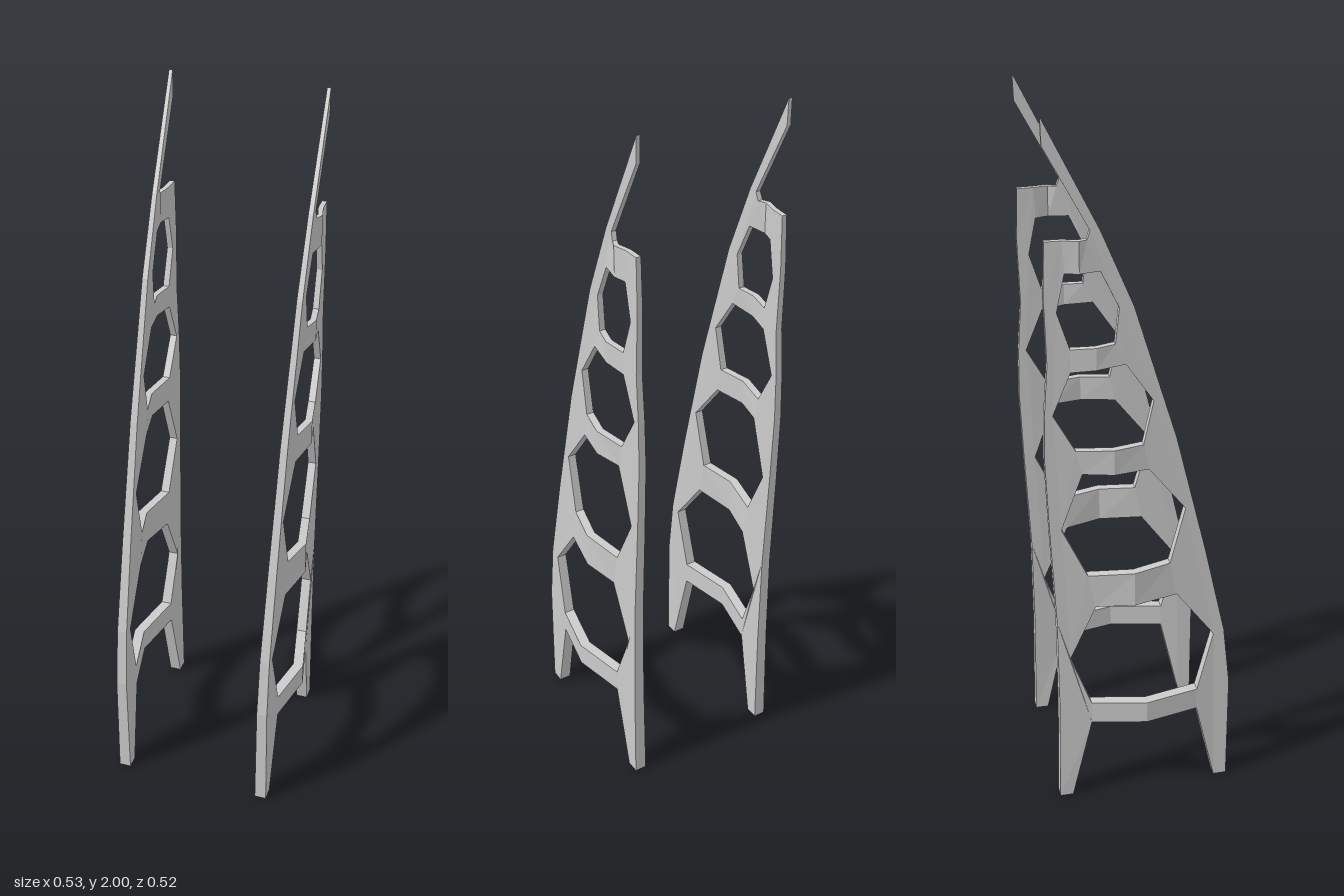
import * as THREE from 'three';

const material = new THREE.MeshStandardMaterial({ color: 0xcccccc, flatShading: true });

// Rung corners as [z, y], and how far the rung's middle bows outward.
const rungs = [
  { fb: [0.164, 0.254], ft: [0.164, 0.32], rb: [-0.143, 0.254], rt: [-0.143, 0.32], bow: 0.038 },
  { fb: [0.1, 0.65], ft: [0.08, 0.752], rb: [-0.127, 0.64], rt: [-0.148, 0.741], bow: 0.028 },
  { fb: [0.02, 1.048], ft: [0.005, 1.122], rb: [-0.159, 1.053], rt: [-0.175, 1.122], bow: 0.021 },
  { fb: [-0.042, 1.355], ft: [-0.069, 1.413], rb: [-0.185, 1.345], rt: [-0.185, 1.408], bow: 0.013 },
  { fb: [-0.106, 1.61], ft: [-0.138, 1.693], rb: [-0.196, 1.61], rt: [-0.2, 1.695], bow: 0.011 },
];

// Narrowest points of the rails between the rungs.
const frontWaists = [[0.21, 0.5], [0.122, 0.916], [0.032, 1.244], [-0.058, 1.509]];
const rearWaists = [[-0.2, 0.476], [-0.217, 0.89], [-0.233, 1.228], [-0.217, 1.509]];

const frontOutline = [
  [0.222, 0], [0.26, 0], [0.26, 0.33], [0.24, 0.51], [0.18, 0.78], [0.095, 1.13],
  [-0.02, 1.51], [-0.105, 1.715], [-0.246, 2], [-0.244, 1.93], [-0.13, 1.715],
];
const rearOutline = [
  [-0.2, 0], [-0.238, 0], [-0.233, 0.32], [-0.235, 0.6], [-0.249, 0.89], [-0.257, 1.1],
  [-0.254, 1.23], [-0.244, 1.37], [-0.249, 1.55], [-0.244, 1.695],
];

// The plate gets thinner with height.
const innerX = (y) => 0.197 + 0.004 * y;
const outerX = (y) => 0.231 - 0.008 * y;

// Closed plate over an outline of [z, y, outward offset]; side is +1 or -1.
function plate(name, outline, side) {
  const flat = (list) => list.map(([z, y]) => new THREE.Vector2(z, y));
  const pts = THREE.ShapeUtils.area(flat(outline)) < 0 ? outline.slice().reverse() : outline;
  const at = (surface) => pts.map(([z, y, d = 0]) => [side * (surface(y) + d), y, z]);
  const inner = at(innerX);
  const outer = at(outerX);
  const positions = [];
  const tri = (a, b, c) => positions.push(...(side > 0 ? [a, b, c] : [a, c, b]).flat());

  for (const [a, b, c] of THREE.ShapeUtils.triangulateShape(flat(pts), [])) {
    tri(inner[a], inner[b], inner[c]);
    tri(outer[a], outer[c], outer[b]);
  }
  for (let i = 0; i < pts.length; i++) {
    const j = (i + 1) % pts.length;
    tri(inner[i], outer[i], outer[j]);
    tri(inner[i], outer[j], inner[j]);
  }

  const geometry = new THREE.BufferGeometry();
  geometry.setAttribute('position', new THREE.Float32BufferAttribute(positions, 3));
  geometry.computeVertexNormals();
  const mesh = new THREE.Mesh(geometry, material);
  mesh.name = name;
  return mesh;
}

// Rung ends are already pushed out a little where they meet the rails.
const rungEnd = (point, rung) => [...point, 0.15 * rung.bow];

// Outer outline, then down the inner edge past every rung and waist.
function railOutline(outline, waists, bottom, top) {
  const edge = [];
  rungs.forEach((rung, i) => {
    edge.push(rungEnd(rung[bottom], rung), rungEnd(rung[top], rung));
    if (waists[i]) edge.push(waists[i]);
  });
  return [...outline, ...edge.reverse()];
}

function sideFrame(name, side) {
  const frame = new THREE.Group();
  frame.name = name;
  frame.add(plate('frontRail', railOutline(frontOutline, frontWaists, 'fb', 'ft'), side));
  frame.add(plate('rearRail', railOutline(rearOutline, rearWaists, 'rb', 'rt'), side));

  // Each rung is two halves meeting at an outward ridge.
  rungs.forEach((rung, i) => {
    const { fb, ft, rb, rt, bow } = rung;
    const z = (fb[0] + ft[0] + rb[0] + rt[0]) / 4;
    const low = [z, (fb[1] + rb[1]) / 2, bow];
    const high = [z, (ft[1] + rt[1]) / 2, bow];
    frame.add(plate(`rung${i + 1}Front`, [rungEnd(fb, rung), low, high, rungEnd(ft, rung)], side));
    frame.add(plate(`rung${i + 1}Rear`, [low, rungEnd(rb, rung), rungEnd(rt, rung), high], side));
  });
  return frame;
}

export function createModel() {
  const model = new THREE.Group();
  model.name = 'pairedLadderFrames';
  model.add(sideFrame('leftFrame', 1), sideFrame('rightFrame', -1));
  return model;
}
